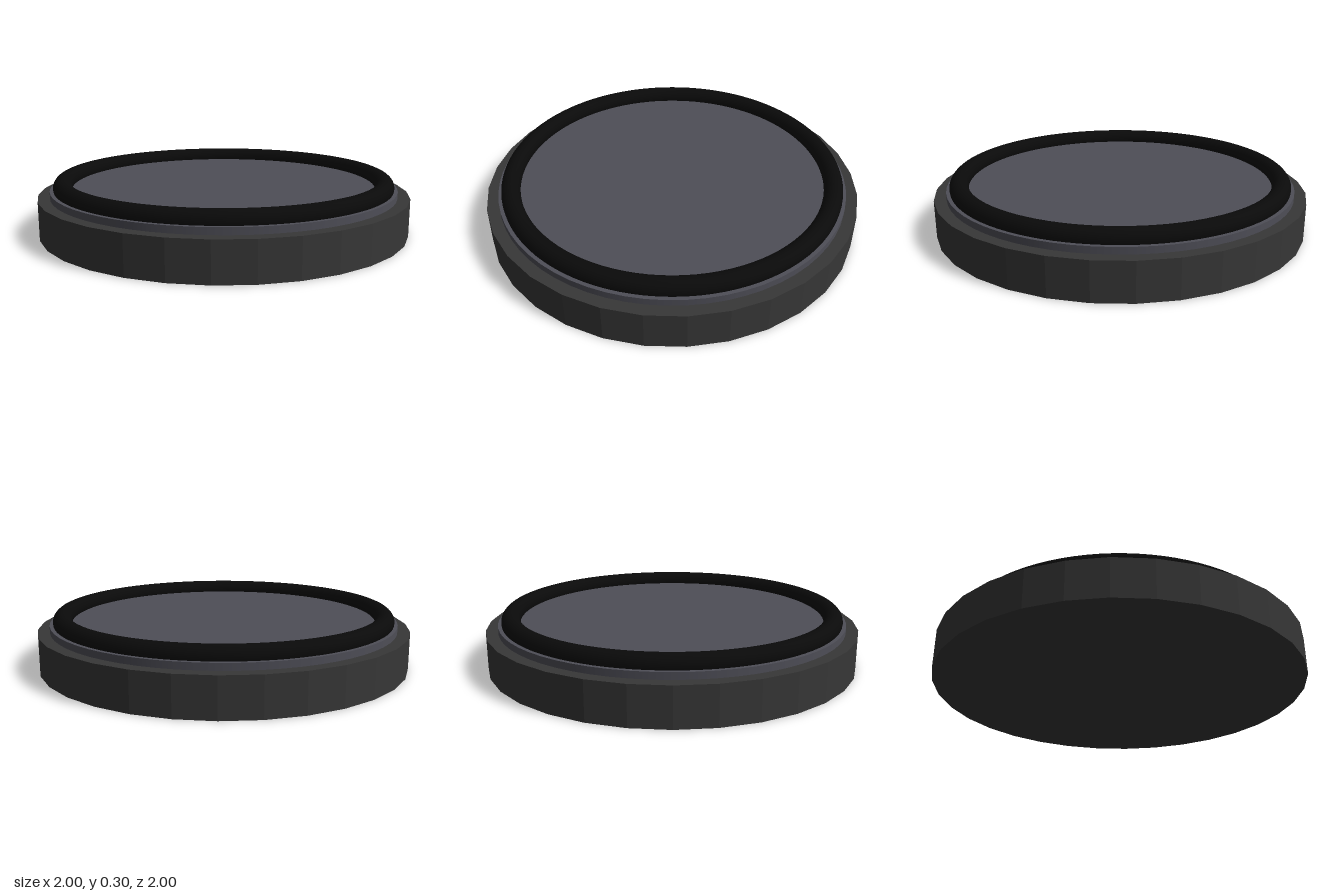
import * as THREE from 'three';

export function createModel() {
  const group = new THREE.Group();

  const add = (name, geometry, color, y, flatShading = false) => {
    const material = new THREE.MeshStandardMaterial({ color, flatShading });
    const mesh = new THREE.Mesh(geometry, material);
    mesh.name = name;
    mesh.position.y = y;
    group.add(mesh);
  };

  // Upright disc standing on height y0 and ending at y1
  const disc = (name, radius, y0, y1, sides, color, flat) =>
    add(name, new THREE.CylinderGeometry(radius, radius, y1 - y0, sides), color, (y0 + y1) / 2, flat);

  // Faceted base
  disc('base', 1, 0, 0.2, 32, 0x373737, true);

  // Inset plate: its edge shows as a thin step, its middle fills the ring
  disc('topPlate', 0.935, 0.2, 0.235, 64, 0x4e4e57, false);

  // Rounded black ring lying on the plate
  const ring = new THREE.TorusGeometry(0.867, 0.05, 24, 96);
  ring.rotateX(-Math.PI / 2);
  add('ring', ring, 0x0a0a0a, 0.25);

  return group;
}
